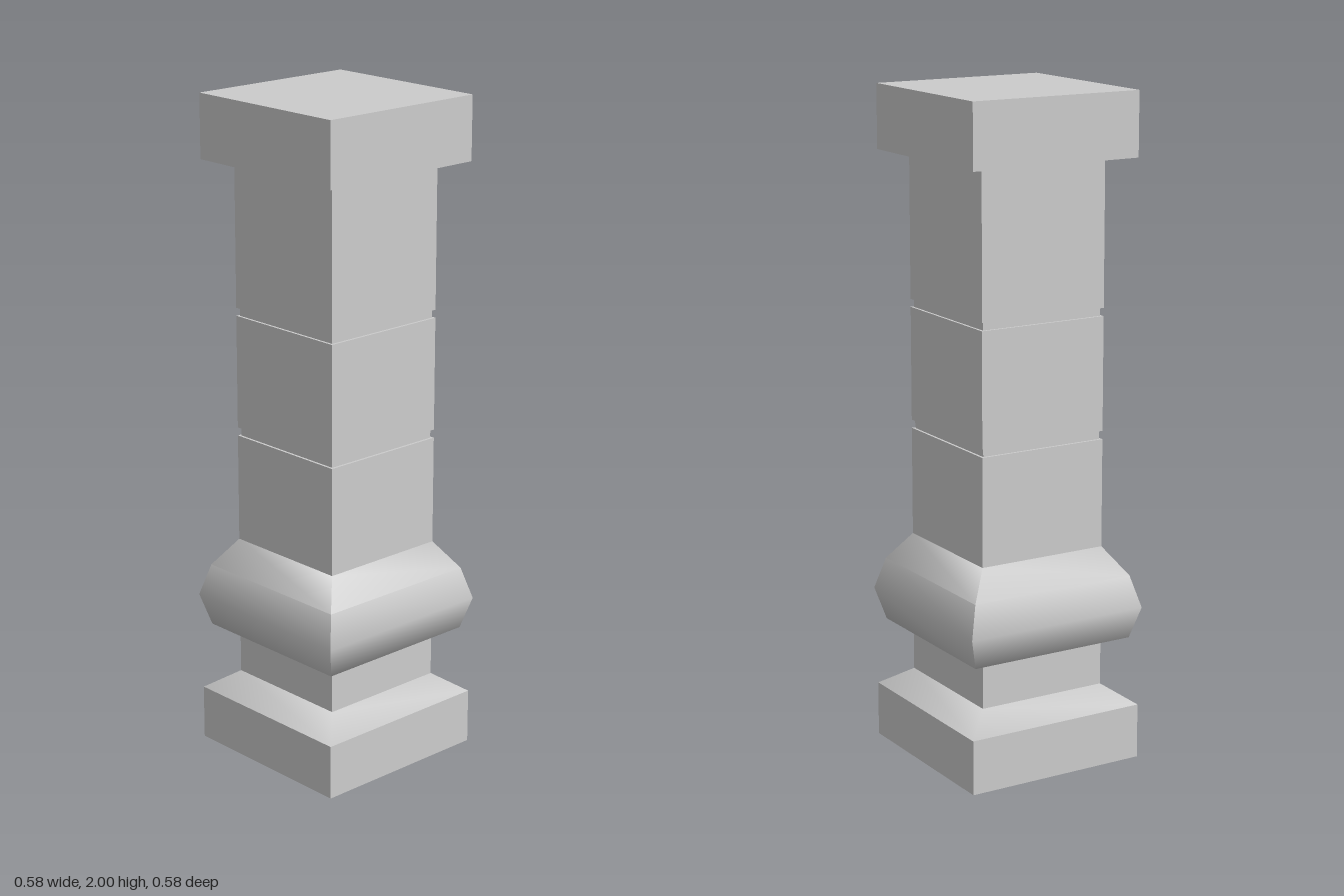
import * as THREE from 'three';
import { toCreasedNormals } from 'three/addons/utils/BufferGeometryUtils.js';

const material = new THREE.MeshStandardMaterial({ color: 0xcccccc });

// Square ring section swept from a profile of [half width, height], listed upward on the outside
function squareSection(name, profile, crease) {
  const points = profile.map(([half, y]) => new THREE.Vector2(half * Math.SQRT2, y));
  const lathe = new THREE.LatheGeometry(points, 4, Math.PI / 4);
  const mesh = new THREE.Mesh(toCreasedNormals(lathe, crease), material);
  mesh.name = name;
  return mesh;
}

export function createModel() {
  const group = new THREE.Group();
  group.name = 'squarePillar';
  const shaft = 0.2045, groove = 0.197;

  // Plinth with a stepped hollow underneath and a sloped top
  group.add(squareSection('base', [
    [0, 0.36], [0.13, 0.36], [0.13, 0.15], [shaft, 0.1], [shaft, 0],
    [0.286, 0], [0.286, 0.166], [shaft, 0.223],
  ], 0.9));

  // Shaft cut by two shallow grooves
  const profile = [[shaft, 0.223]];
  for (const [low, high] of [[0.98, 1.005], [1.347, 1.371]]) {
    profile.push([shaft, low], [groove, low], [groove, high], [shaft, high]);
  }
  profile.push([shaft, 1.809]);
  group.add(squareSection('shaft', profile, 0.5));

  // Swelling collar around the lower shaft
  group.add(squareSection('collar', [
    [shaft, 0.368], [0.265, 0.376], [0.292, 0.472], [0.265, 0.569], [shaft, 0.653],
  ], 1.25));

  // Flat square cap
  const cap = new THREE.Mesh(new THREE.BoxGeometry(0.545, 0.191, 0.545), material);
  cap.name = 'cap';
  cap.position.y = 1.9045;
  group.add(cap);

  return group;
}
